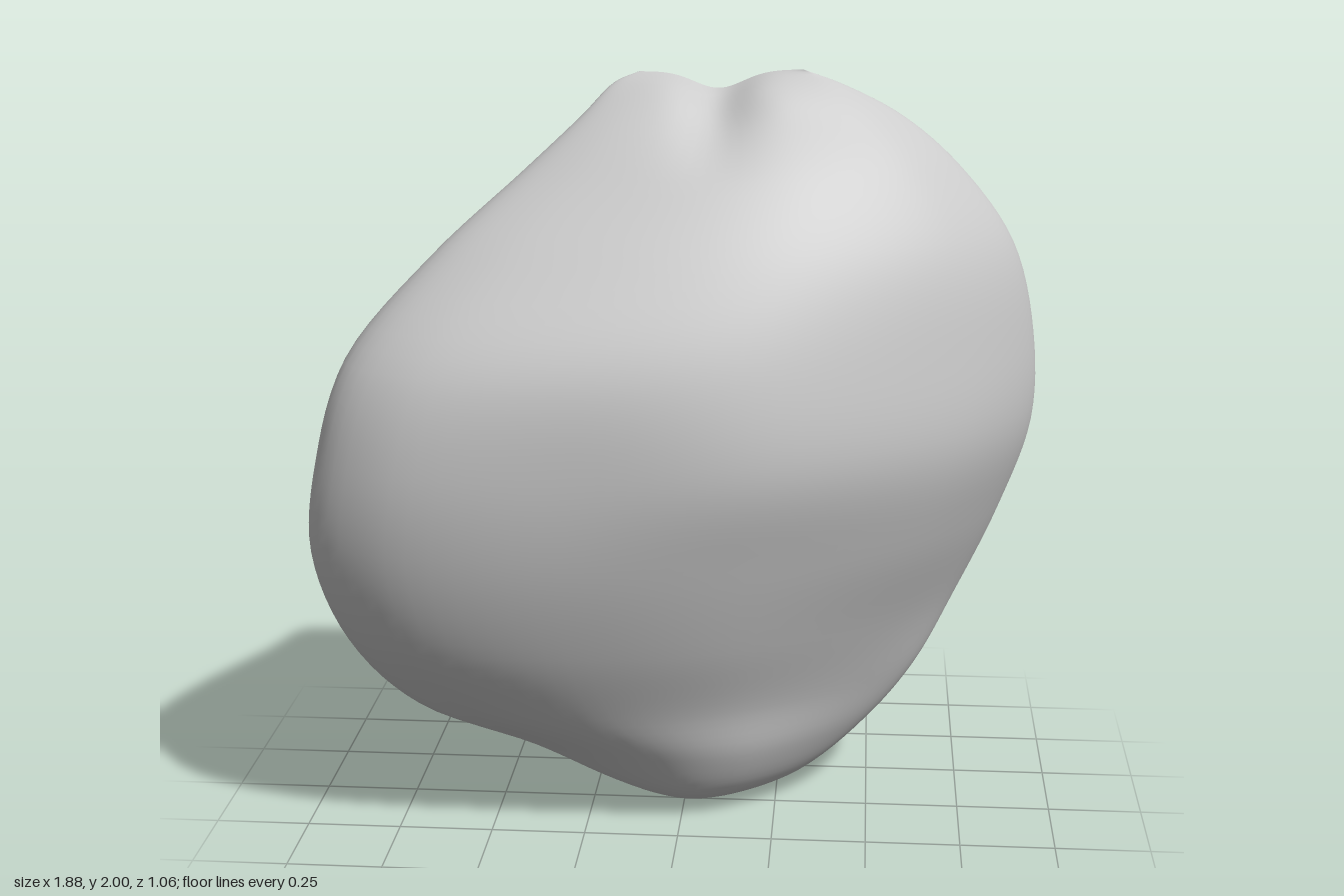
import * as THREE from 'three';

// Horizontal sections, bottom to top:
// y, left tip x z, four front depths (left to right), right tip x z, four back depths (right to left)
const SECTIONS = [
  [0.07, -0.21, -0.01, 0.07, 0.13, 0.10, 0.00, 0.33, -0.10, -0.19, -0.25, -0.25, -0.19],
  [0.20, -0.41, 0.07, 0.16, 0.22, 0.17, 0.00, 0.50, -0.16, -0.28, -0.36, -0.35, -0.25],
  [0.35, -0.70, 0.16, 0.27, 0.31, 0.23, 0.01, 0.63, -0.21, -0.36, -0.44, -0.45, -0.32],
  [0.55, -0.86, 0.22, 0.39, 0.41, 0.32, 0.05, 0.74, -0.26, -0.41, -0.49, -0.52, -0.36],
  [0.80, -0.94, 0.25, 0.47, 0.49, 0.40, 0.12, 0.85, -0.25, -0.38, -0.42, -0.46, -0.31],
  [1.05, -0.915, 0.26, 0.50, 0.52, 0.45, 0.16, 0.925, -0.22, -0.32, -0.34, -0.38, -0.27],
  [1.30, -0.84, 0.23, 0.46, 0.50, 0.42, 0.15, 0.92, -0.19, -0.27, -0.27, -0.32, -0.24],
  [1.55, -0.63, 0.14, 0.31, 0.37, 0.32, 0.12, 0.855, -0.15, -0.22, -0.23, -0.28, -0.22],
  [1.75, -0.41, 0.02, 0.14, 0.21, 0.19, 0.06, 0.71, -0.12, -0.18, -0.20, -0.25, -0.19],
  [1.88, -0.27, -0.06, 0.02, 0.07, 0.07, 0.00, 0.56, -0.10, -0.14, -0.16, -0.20, -0.17],
  [1.96, -0.19, -0.12, -0.08, -0.03, -0.01, -0.04, 0.41, -0.08, -0.11, -0.13, -0.16, -0.16],
];
const FRONT = [0.1, 0.37, 0.63, 0.88];
const BACK = [0.9, 0.66, 0.42, 0.2];

// Ten key points around one section
function keyPoints([y, xl, zl, f1, f2, f3, f4, xr, zr, ...back]) {
  const at = (fraction, z) => new THREE.Vector3(xl + (xr - xl) * fraction, y, z);
  const front = [f1, f2, f3, f4];
  return [at(0, zl), ...front.map((z, i) => at(FRONT[i], z)), at(1, zr), ...back.map((z, i) => at(BACK[i], z))];
}

// Rounded underside: the lowest section drawn in towards its lowest point
const drawnIn = (scale, y) =>
  keyPoints(SECTIONS[0]).map((p) => new THREE.Vector3(0.03 + (p.x - 0.03) * scale, y, -0.05 + (p.z + 0.05) * scale));

// Crest: the top section closes to a slanting line
const crest = () => [0, ...FRONT, 1, ...BACK].map((f) => new THREE.Vector3(-0.13 + 0.43 * f, 1.985 + 0.015 * f, -0.14 + 0.06 * f));

function stoneGeometry(rows, around) {
  const rings = [drawnIn(0, 0), drawnIn(0.55, 0.02), ...SECTIONS.map(keyPoints), crest()];
  const columns = rings[0].map((_, i) => new THREE.CatmullRomCurve3(rings.map((r) => r[i]), false, 'centripetal'));
  const positions = [];
  const index = [];
  for (let r = 0; r <= rows; r++) {
    const ring = new THREE.CatmullRomCurve3(columns.map((c) => c.getPoint(r / rows)), true, 'catmullrom', 0.5);
    for (let s = 0; s < around; s++) {
      const p = ring.getPoint(s / around);
      // Small notch in the crest, with a groove running down the front and back
      const groove = Math.exp(-(((p.x - 0.08) / 0.09) ** 2)) * THREE.MathUtils.smoothstep(p.y, 1.72, 1.98);
      p.y -= 0.045 * groove;
      p.z -= 0.03 * groove * THREE.MathUtils.clamp((p.z + 0.11) / 0.07, -1, 1);
      positions.push(p.x, p.y, p.z);
      if (r < rows) {
        const a = r * around + s;
        const b = r * around + ((s + 1) % around);
        index.push(a, b, b + around, a, b + around, a + around);
      }
    }
  }
  const geometry = new THREE.BufferGeometry();
  geometry.setAttribute('position', new THREE.Float32BufferAttribute(positions, 3));
  geometry.setIndex(index);
  geometry.computeVertexNormals();
  return geometry;
}

export function createModel() {
  const group = new THREE.Group();
  group.name = 'rock';
  const stone = new THREE.Mesh(stoneGeometry(78, 80), new THREE.MeshStandardMaterial({ color: 0xcccccc }));
  stone.name = 'stone';
  group.add(stone);
  return group;
}
